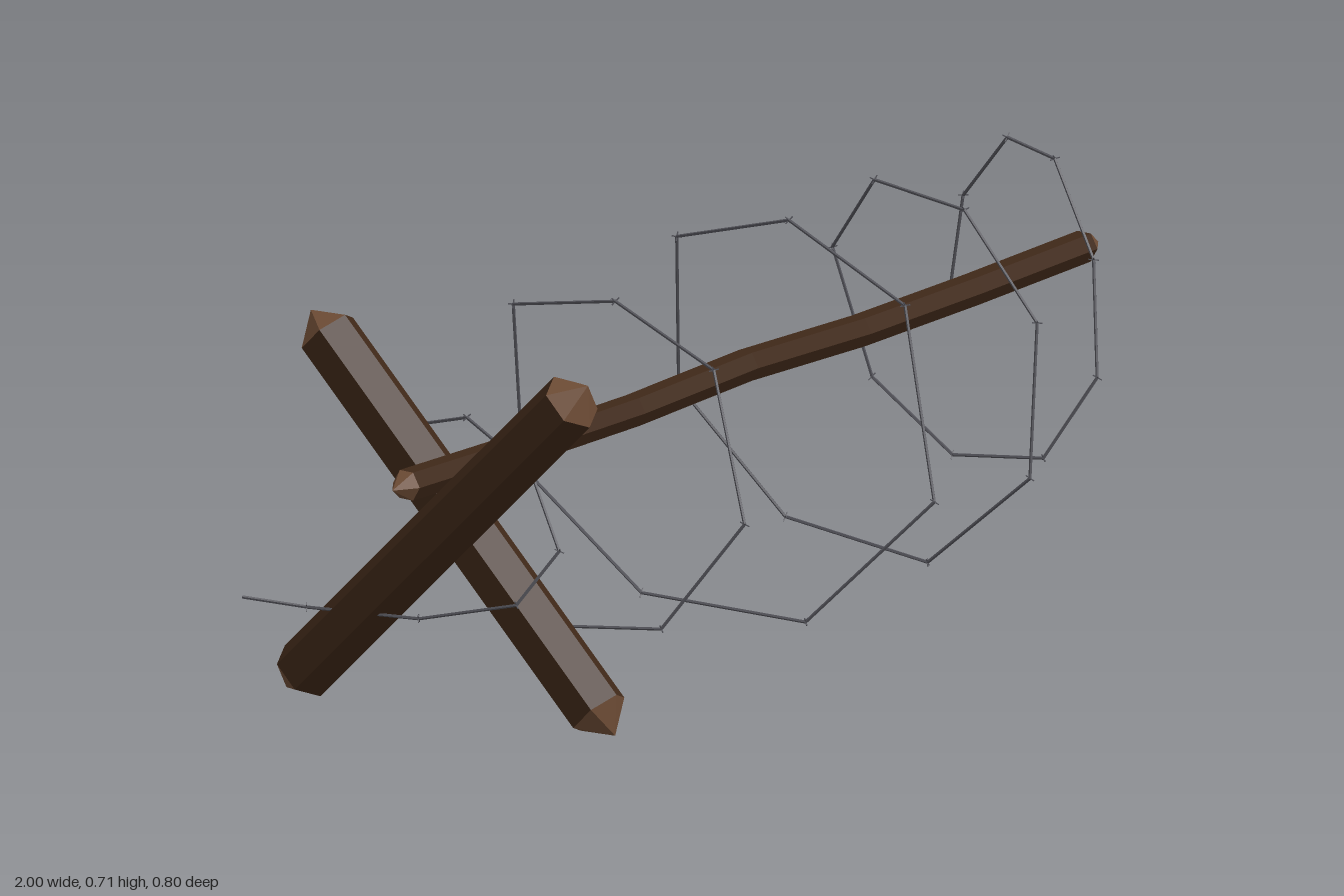
import * as THREE from 'three';
import { mergeGeometries } from 'three/addons/utils/BufferGeometryUtils.js';

const UP = new THREE.Vector3(0, 1, 0);
const V = (x, y, z) => new THREE.Vector3(x, y, z);

const bark = new THREE.MeshStandardMaterial({ color: 0x3f2818, flatShading: true });
const cutWood = new THREE.MeshStandardMaterial({ color: 0x6f4d36, flatShading: true });
const steel = new THREE.MeshStandardMaterial({ color: 0x55555c, flatShading: true });

// Hewn log between two points, tapering to a short point at both ends
function log(name, from, to, radius, sides, tip, bend = () => 0) {
  const group = new THREE.Group();
  group.name = name;
  const dir = to.clone().sub(from);
  const length = dir.length();
  const body = new THREE.CylinderGeometry(radius, radius, length - 2 * tip, sides, 6, true);
  const ends = [1, -1].map((s) => {
    const cone = new THREE.ConeGeometry(radius, tip, sides, 1, true);
    cone.translate(0, length / 2 - tip / 2, 0);
    if (s < 0) {
      // turn end for end, keeping the rim corners on the body's corners
      cone.rotateZ(Math.PI);
      if (sides % 2) cone.scale(1, 1, 1);
    }
    return cone;
  });
  const caps = mergeGeometries(ends);
  for (const geo of [body, caps]) {
    const p = geo.attributes.position;
    for (let i = 0; i < p.count; i++) p.setX(i, p.getX(i) + bend(p.getY(i)));
    geo.computeVertexNormals();
  }
  const bodyMesh = new THREE.Mesh(body, bark);
  bodyMesh.name = name + 'Body';
  const capMesh = new THREE.Mesh(caps, cutWood);
  capMesh.name = name + 'Points';
  group.add(bodyMesh, capMesh);
  group.position.copy(from).add(to).multiplyScalar(0.5);
  group.quaternion.setFromUnitVectors(UP, dir.normalize());
  return group;
}

// Thin rod between two points
function rod(a, b, r, sides) {
  const dir = b.clone().sub(a);
  const geo = new THREE.CylinderGeometry(r, r, dir.length(), sides);
  geo.applyQuaternion(new THREE.Quaternion().setFromUnitVectors(UP, dir.normalize()));
  const mid = a.clone().add(b).multiplyScalar(0.5);
  return geo.translate(mid.x, mid.y, mid.z);
}

// Corners of the loose wire coil
const COIL = [
  [-1, 0.19, -0.39], [-0.935, 0.173, -0.3], [-0.91, 0.185, -0.075], [-0.88, 0.235, 0.115],
  [-0.83, 0.33, 0.17], [-0.78, 0.445, 0.07], [-0.73, 0.5, -0.108], [-0.697, 0.455, -0.25],
  [-0.68, 0.27, -0.21], [-0.645, 0.123, -0.024], [-0.58, 0.14, 0.2], [-0.513, 0.335, 0.33],
  [-0.457, 0.58, 0.22], [-0.404, 0.648, -0.035], [-0.34, 0.582, -0.307], [-0.27, 0.268, -0.34],
  [-0.22, 0.07, -0.12], [-0.145, 0.052, 0.18], [-0.06, 0.285, 0.395], [0, 0.605, 0.285],
  [0.042, 0.7, 0], [0.095, 0.61, -0.285], [0.19, 0.31, -0.354], [0.253, 0.092, -0.17],
  [0.285, 0.052, 0.115], [0.315, 0.23, 0.315], [0.355, 0.497, 0.3], [0.39, 0.66, 0.115],
  [0.44, 0.663, -0.12], [0.507, 0.503, -0.263], [0.55, 0.27, -0.21], [0.57, 0.153, -0.05],
  [0.6, 0.17, 0.125], [0.655, 0.315, 0.2], [0.697, 0.51, 0.16], [0.73, 0.665, 0.05],
  [0.755, 0.677, -0.073], [0.78, 0.548, -0.188], [0.795, 0.363, -0.229],
].map((c) => V(...c));

function barbedWire() {
  const group = new THREE.Group();
  group.name = 'barbedWire';
  const strands = [], barbs = [];
  COIL.forEach((p, i) => {
    if (i === 0) return;
    strands.push(rod(COIL[i - 1], p, 0.003, 5));
    if (i === COIL.length - 1) return;
    // two crossed spikes at each corner
    const along = COIL[i + 1].clone().sub(COIL[i - 1]).normalize();
    const side = along.clone().cross(V(1, 0, 0)).normalize();
    const other = along.clone().cross(side);
    for (const s of [1, -1]) {
      const arm = side.clone().addScaledVector(other, s).addScaledVector(along, 0.4 * s);
      arm.setLength(0.009);
      barbs.push(rod(p.clone().sub(arm), p.clone().add(arm), 0.0013, 4));
    }
  });
  const wire = new THREE.Mesh(mergeGeometries(strands), steel);
  wire.name = 'wireCoil';
  const spikes = new THREE.Mesh(mergeGeometries(barbs), steel);
  spikes.name = 'barbs';
  group.add(wire, spikes);
  return group;
}

export function createModel() {
  const model = new THREE.Group();
  model.name = 'barbedWireBarricade';
  // crossed posts at one end
  model.add(log('innerPost', V(-0.785, 0.004, 0.257), V(-0.795, 0.658, -0.398), 0.055, 6, 0.05));
  model.add(log('outerPost', V(-0.885, 0.004, -0.382), V(-0.888, 0.658, 0.277), 0.055, 6, 0.05));
  // long, slightly crooked rail resting in the crossing
  model.add(log('rail', V(-1, 0.432, -0.063), V(1, 0.432, -0.063), 0.029, 6, 0.04,
    (t) => -0.006 * Math.cos(t * 7)));
  model.add(barbedWire());
  return model;
}
